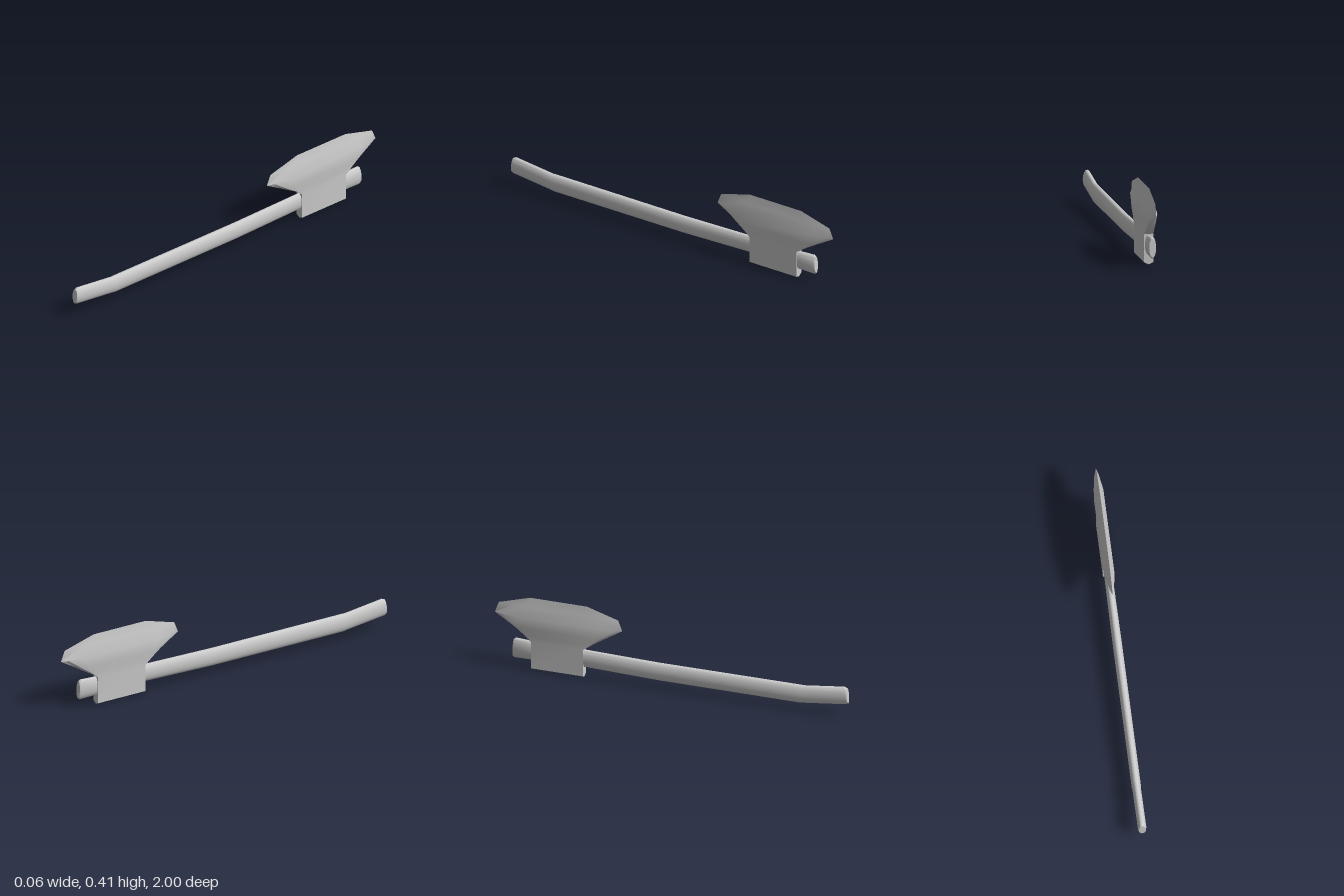
import * as THREE from 'three';
import { toCreasedNormals, mergeVertices } from 'three/addons/utils/BufferGeometryUtils.js';

const grey = new THREE.MeshStandardMaterial({ color: 0xcccccc });

// Skin a list of closed rings (arrays of Vector3), dropping collapsed triangles.
function loft(rings, crease) {
  const pos = [];
  const tri = new THREE.Triangle();
  const add = (a, b, c) => {
    if (tri.set(a, b, c).getArea() > 1e-8) pos.push(...a, ...b, ...c);
  };
  for (let i = 0; i < rings.length - 1; i++) {
    const lo = rings[i], hi = rings[i + 1], n = lo.length;
    for (let j = 0; j < n; j++) {
      const k = (j + 1) % n;
      add(lo[j], lo[k], hi[k]);
      add(lo[j], hi[k], hi[j]);
    }
  }
  const g = new THREE.BufferGeometry();
  g.setAttribute('position', new THREE.Float32BufferAttribute(pos, 3));
  return toCreasedNormals(mergeVertices(g), crease);
}

// Oval handle with a raised grip; tilt leans a ring forward at its top.
function makeHandle() {
  const stations = [ // z, centre y, half width, half height, tilt
    [-0.892, 0.108, 0, 0, 0],
    [-0.892, 0.108, 0.018, 0.05, 0.05],
    [-0.882, 0.108, 0.021, 0.058, 0.05],
    [-0.78, 0.106, 0.021, 0.054, 0],
    [-0.48, 0.108, 0.022, 0.05, 0],
    [-0.07, 0.098, 0.025, 0.051, 0],
    [0.735, 0.098, 0.025, 0.052, 0],
    [0.75, 0.099, 0.023, 0.05, -0.06],
    [0.982, 0.128, 0.023, 0.05, -0.1],
    [0.996, 0.128, 0.02, 0.043, -0.08],
    [0.998, 0.128, 0, 0, 0],
  ];
  const sides = 32;
  const rings = stations.map(([z, y, rx, ry, tilt]) =>
    Array.from({ length: sides }, (_, j) => {
      const a = (j / sides) * Math.PI * 2, dy = ry * Math.sin(a);
      return new THREE.Vector3(rx * Math.cos(a), y + dy, z + tilt * dy);
    }));
  return new THREE.Mesh(loft(rings, 0.6), grey);
}

// Head: ten-sided horizontal sections from the poll up to the cutting edge.
function makeHead() {
  const rows = [ // y, half length, shoulder half length, shoulder x, flat half length, flat x
    [0, 0.146, 0.146, 0, 0.146, 0],
    [0.011, 0.146, 0.146, 0.025, 0.146, 0.025],
    [0.165, 0.146, 0.146, 0.025, 0.144, 0.025],
    [0.2, 0.203, 0.186, 0.023, 0.16, 0.0265],
    [0.24, 0.265, 0.24, 0.02, 0.195, 0.0285],
    [0.3, 0.36, 0.32, 0.013, 0.24, 0.026],
    [0.36, 0.337, 0.25, 0.0075, 0.19, 0.0085],
    [0.413, 0.16, 0.15, 0, 0.14, 0],
  ];
  const rings = rows.map(([y, h, h1, x1, h2, x2]) => [
    [0, h], [x1, h1], [x2, h2], [x2, -h2], [x1, -h1],
    [0, -h], [-x1, -h1], [-x2, -h2], [-x2, h2], [-x1, h1],
  ].map(([x, z]) => new THREE.Vector3(x, y, z)));
  const head = new THREE.Mesh(loft(rings, 0.6), grey);
  head.position.z = -0.638;
  return head;
}

export function createModel() {
  const model = new THREE.Group();
  model.name = 'axe';
  const handle = makeHandle();
  handle.name = 'handle';
  const head = makeHead();
  head.name = 'axeHead';
  model.add(handle, head);
  return model;
}
